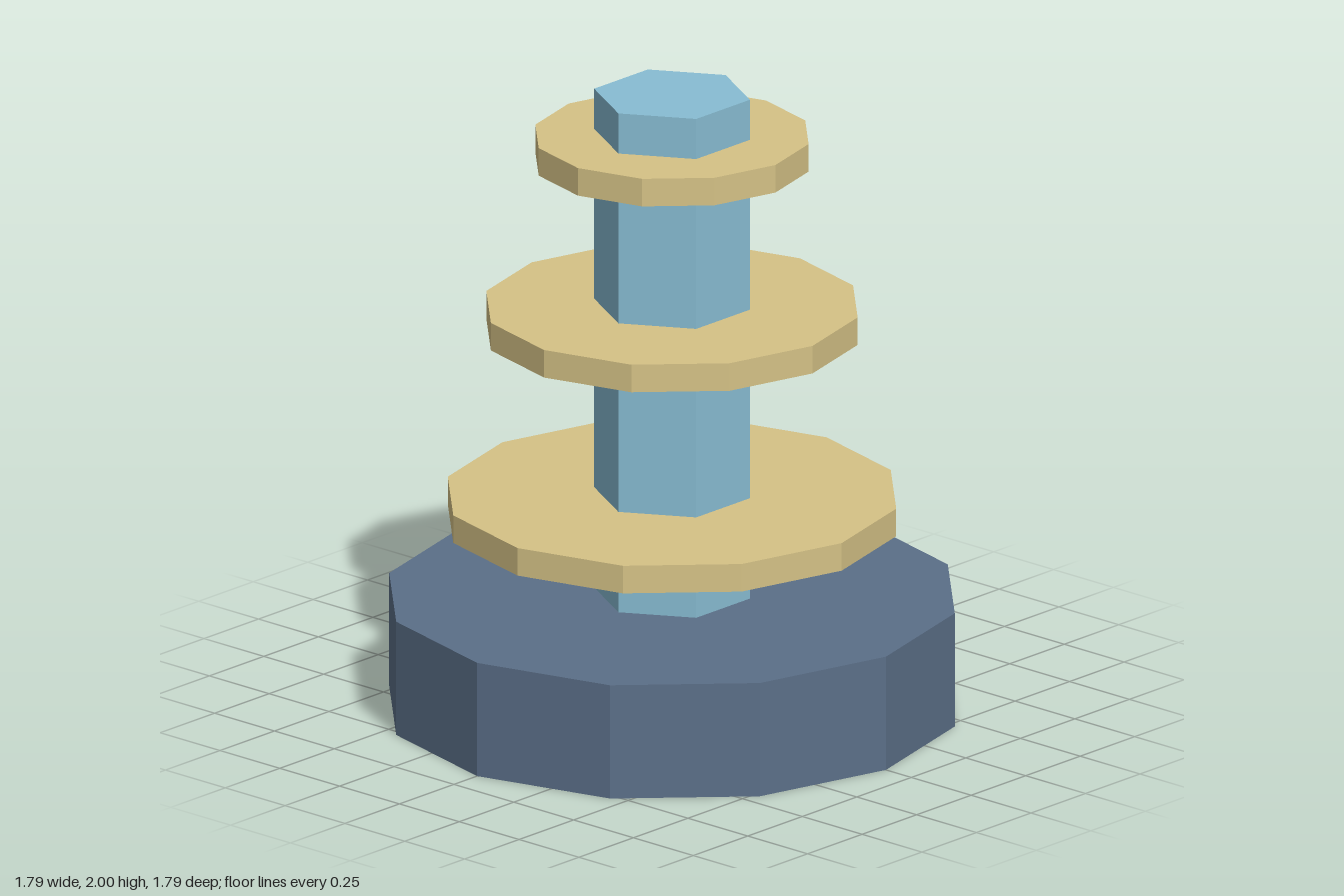
import * as THREE from 'three';

export function createModel() {
  const model = new THREE.Group();
  model.name = 'tieredColumn';

  const material = (name, color) => {
    const m = new THREE.MeshStandardMaterial({ color, flatShading: true });
    m.name = name;
    return m;
  };
  const slate = material('slate blue', 0x5b6f88);
  const sky = material('light blue', 0x88bdd3);
  const sand = material('sand', 0xd5c286);

  // Upright faceted prism between two heights
  const prism = (name, radius, bottom, top, sides, mat) => {
    const mesh = new THREE.Mesh(
      new THREE.CylinderGeometry(radius, radius, top - bottom, sides), mat);
    mesh.name = name;
    mesh.position.y = (bottom + top) / 2;
    model.add(mesh);
  };

  // Heavy base and hexagonal column
  prism('base', 0.894, 0, 0.37, 12, slate);
  prism('column', 0.246, 0.37, 2, 6, sky);

  // Discs shrinking towards the top
  [
    ['lowerDisc', 0.709, 0.608],
    ['middleDisc', 0.587, 1.224],
    ['upperDisc', 0.432, 1.779],
  ].forEach(([name, radius, y]) => prism(name, radius, y, y + 0.09, 12, sand));

  return model;
}
